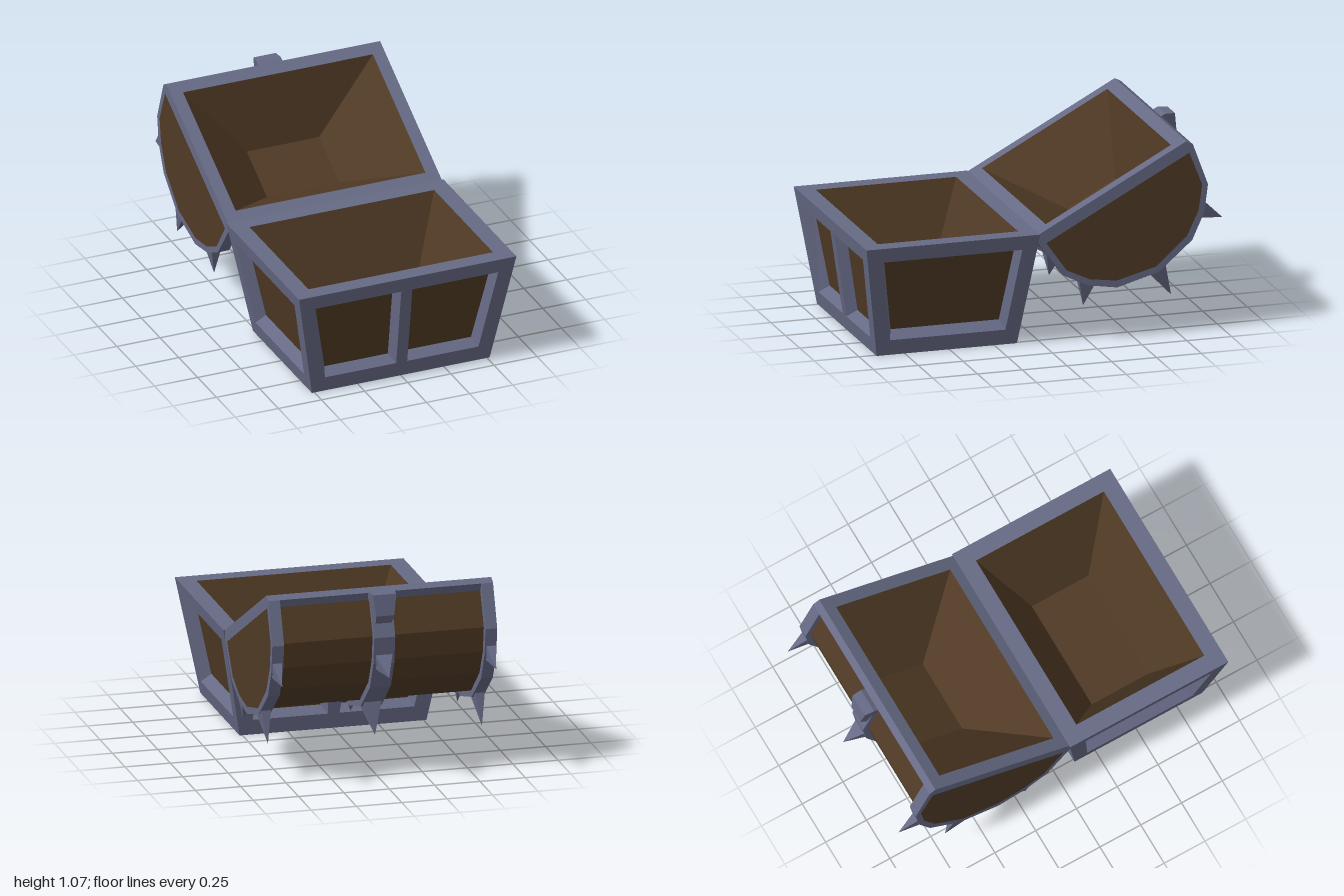
import * as THREE from 'three';

const metal = new THREE.MeshStandardMaterial({ color: 0x666a85, flatShading: true, side: THREE.DoubleSide });
metal.name = 'blue grey metal';
const wood = new THREE.MeshStandardMaterial({ color: 0x503a25, flatShading: true, side: THREE.DoubleSide });
wood.name = 'dark brown wood';

function add(parent, name, geometry, material) {
  const mesh = new THREE.Mesh(geometry, material);
  mesh.name = name;
  parent.add(mesh);
  return mesh;
}

// Flat-shaded geometry from a list of four-cornered faces
function quads(faces) {
  const points = faces.flatMap(([a, b, c, d]) => [a, b, c, a, c, d]);
  const g = new THREE.BufferGeometry();
  g.setAttribute('position', new THREE.Float32BufferAttribute(points.flat(), 3));
  g.computeVertexNormals();
  return g;
}

const toShape = (pts) => new THREE.Shape(pts.map(([x, y]) => new THREE.Vector2(x, y)));

function shapeWithHoles(pts, holes = []) {
  const s = toShape(pts);
  s.holes = holes.map(toShape);
  return s;
}

const rect = (x, z, y) => [[-x, y, z], [x, y, z], [x, y, -z], [-x, y, -z]];

// Four faces joining two rings of corners
const band = (a, b) => a.map((p, i) => {
  const j = (i + 1) % a.length;
  return [p, a[j], b[j], b[i]];
});

// Rim ring at the top and a tapering cavity below it
function rimAndCavity(parent, outer, opening, floor, top, bottom) {
  add(parent, 'rim', quads(band(rect(...opening, top), rect(...outer, top))), metal);
  const o = rect(...opening, top), f = rect(...floor, bottom);
  add(parent, 'innerLining', quads([...band(f, o), f]), wood);
}

// Sloping wall with sunken panels; each panel is [outer corners, inner corners]
function wall(name, outline, panels, base, slope) {
  const g = new THREE.Group();
  g.name = name;
  const depth = 0.06;
  const at = ([u, y], d = 0) => [u, y, base + slope * y - d];
  const frame = new THREE.ShapeGeometry(shapeWithHoles(outline, panels.map((p) => p[0])));
  const pos = frame.attributes.position;
  for (let i = 0; i < pos.count; i++) pos.setZ(i, base + slope * pos.getY(i));
  frame.computeVertexNormals();
  add(g, 'wallFrame', frame, metal);
  for (const [outer, inner] of panels) {
    const sunk = inner.map((p) => at(p, depth));
    add(g, 'panelBevel', quads(band(outer.map((p) => at(p)), sunk)), metal);
    add(g, 'woodPanel', quads([sunk]), wood);
  }
  return g;
}

function makeBase() {
  const base = new THREE.Group();
  base.name = 'chestBase';
  base.position.z = 0.515;
  const H = 0.625, bx = 0.515, tx = 0.63, bz = 0.392, tz = 0.485;
  const trapezoid = (b, t) => [[-b, 0], [b, 0], [t, H], [-t, H]];
  const flip = (pts) => pts.map(([u, y]) => [-u, y]);

  const longPanel = [
    [[0.032, 0.085], [0.445, 0.085], [0.53, 0.545], [0.032, 0.545]],
    [[0.057, 0.122], [0.425, 0.122], [0.505, 0.53], [0.057, 0.53]],
  ];
  const sidePanel = [
    [[-0.323, 0.085], [0.323, 0.085], [0.39, 0.545], [-0.39, 0.545]],
    [[-0.302, 0.13], [0.302, 0.13], [0.362, 0.527], [-0.362, 0.527]],
  ];
  ['frontWall', 'leftWall', 'backWall', 'rightWall'].forEach((name, i) => {
    const w = i % 2 === 0
      ? wall(name, trapezoid(bx, tx), [longPanel, longPanel.map(flip)], bz, (tz - bz) / H)
      : wall(name, trapezoid(bz, tz), [sidePanel], bx, (tx - bx) / H);
    w.rotation.y = i * Math.PI / 2;
    base.add(w);
  });
  rimAndCavity(base, [tx, tz], [0.535, 0.392], [0.32, 0.174], H, 0.13);
  add(base, 'underside', quads([rect(bx, bz, 0).reverse()]), wood);
  return base;
}

// Half profiles of the lid (distance from the middle, height below the rim)
const OUTER = [[0.492, 0.035], [0.458, 0.276], [0.369, 0.4], [0.238, 0.5], [0, 0.553]];
const INNER = [[0.453, 0.065], [0.43, 0.26], [0.345, 0.375], [0.222, 0.465], [0, 0.518]];
const arch = (half) => [
  ...half.map(([s, h]) => [s, -h]),
  ...half.slice(0, -1).reverse().map(([s, h]) => [-s, -h]),
];

// Extrude a lid profile along x
function across(shape, x0, x1) {
  return new THREE.ExtrudeGeometry(shape, { depth: x1 - x0, bevelEnabled: false })
    .translate(0, 0, x0).rotateY(Math.PI / 2);
}

function makeLid() {
  const lid = new THREE.Group();
  lid.name = 'openLid';
  lid.position.set(0, 0.843, -0.376);
  lid.rotation.x = 0.493;
  const W = 0.62;
  const outer = arch(OUTER), inner = arch(INNER);

  rimAndCavity(lid, [W, 0.47], [0.55, 0.397], [0.21, 0.153], 0, -0.315);

  // Curved wooden shell between the straps
  add(lid, 'lidBarrel', quads(inner.slice(1).map(([s, y], i) => {
    const [s0, y0] = inner[i];
    return [[-W + 0.01, y0, -s0], [W - 0.01, y0, -s0], [W - 0.01, y, -s], [-W + 0.01, y, -s]];
  })), wood);

  // Metal straps round the shell
  const endShape = shapeWithHoles([[0.47, 0], ...outer, [-0.47, 0]], [inner]);
  const middleShape = toShape([...outer, ...[...inner].reverse()]);
  add(lid, 'rightStrap', across(endShape, -W, -0.555), metal);
  add(lid, 'middleStrap', across(middleShape, -0.058, 0.058), metal);
  add(lid, 'leftStrap', across(endShape, 0.555, W), metal);

  for (const side of [-1, 1]) {
    // Wooden end panel
    const end = add(lid, 'lidEndPanel', new THREE.ShapeGeometry(toShape(inner)), wood);
    end.rotation.y = Math.PI / 2;
    end.position.x = side * W;
    // Lip along the long edge of the rim
    const lip = [[0.44, 0], [0.47, 0], [0.492, -0.035], [0.453, -0.065]];
    add(lid, 'rimLip', across(toShape(lip.map(([s, y]) => [s * side, y])), -W, W), metal);
  }

  // Spikes: three on each strap
  for (const x of [-0.59, 0, 0.59]) {
    for (const [s, h, ts, th] of [[-0.355, 0.375, -0.44, 0.494], [0, 0.535, 0, 0.714], [0.355, 0.375, 0.443, 0.494]]) {
      const from = new THREE.Vector3(x, -h, -s), to = new THREE.Vector3(x, -th, -ts);
      const dir = to.clone().sub(from);
      const cone = new THREE.ConeGeometry(Math.SQRT2, 1, 4).rotateY(Math.PI / 4).translate(0, 0.5, 0);
      const spike = add(lid, 'spike', cone, metal);
      spike.scale.set(x === 0 ? 0.05 : 0.028, dir.length(), 0.05);
      spike.position.copy(from);
      spike.quaternion.setFromUnitVectors(new THREE.Vector3(0, 1, 0), dir.normalize());
    }
  }

  // Clasp that narrows away from the rim
  const clasp = across(toShape([[0.47, -0.035], [0.518, -0.036], [0.566, -0.064], [0.525, -0.172], [0.476, -0.2], [0.45, -0.2]]), -1, 1);
  const p = clasp.attributes.position;
  for (let i = 0; i < p.count; i++) p.setX(i, p.getX(i) * (0.075 + 0.15 * p.getY(i)));
  clasp.computeVertexNormals();
  add(lid, 'clasp', clasp, metal);
  return lid;
}

export function createModel() {
  const chest = new THREE.Group();
  chest.name = 'treasureChest';
  chest.add(makeBase(), makeLid());
  return chest;
}
